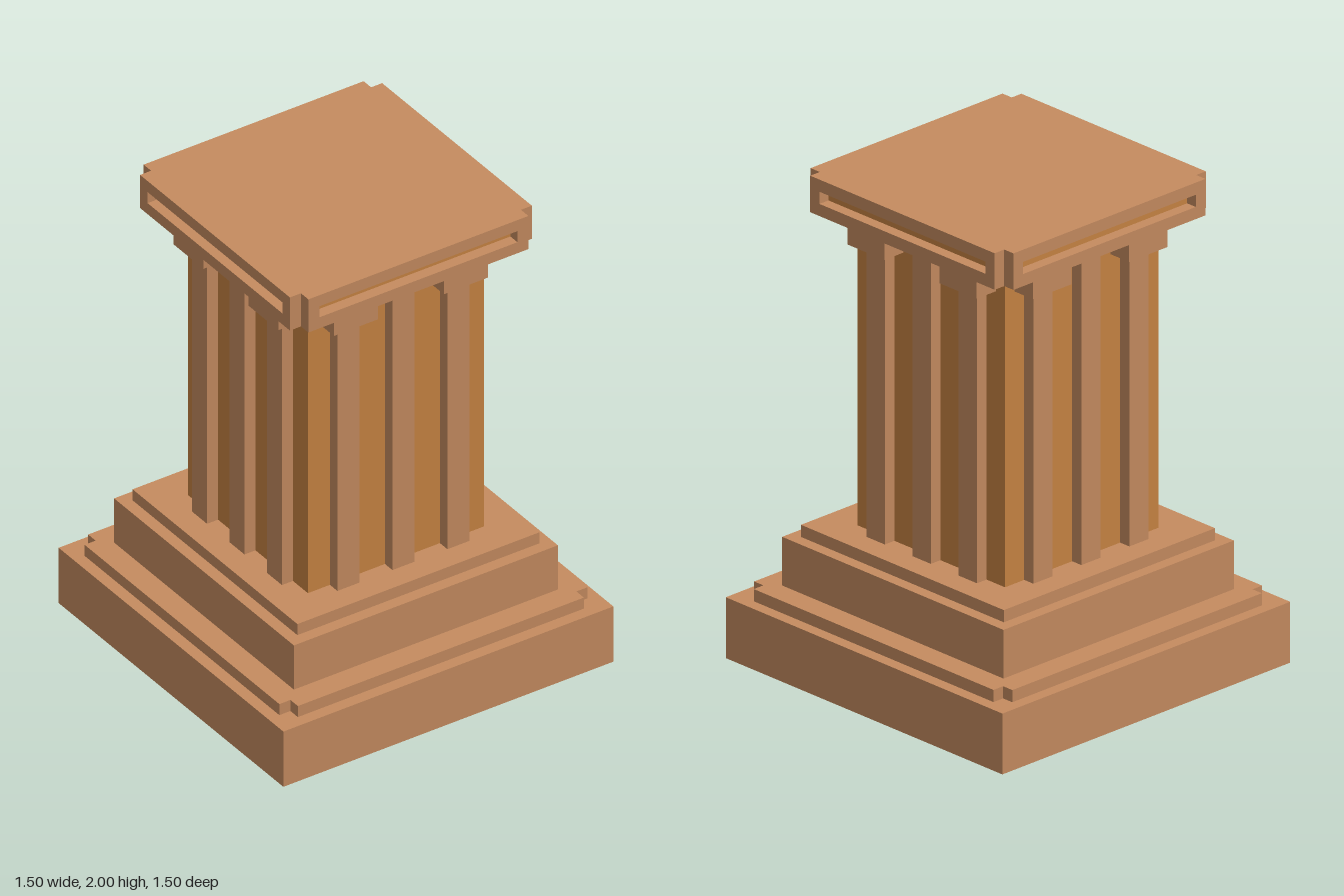
import * as THREE from 'three';

const terracotta = new THREE.MeshStandardMaterial({ color: 0xc68c60 });
terracotta.name = 'terracotta';
const ochre = new THREE.MeshStandardMaterial({ color: 0xc88443 });
ochre.name = 'ochre';

// Box given by its size, its bottom height and its centre in x and z
function block(parent, name, material, w, h, d, bottom, x = 0, z = 0) {
  const mesh = new THREE.Mesh(new THREE.BoxGeometry(w, h, d), material);
  mesh.name = name;
  mesh.position.set(x, bottom + h / 2, z);
  parent.add(mesh);
}

// Square slab with a small square notch cut from each corner
function notchedSlab(parent, name, half, notch, h, bottom) {
  const a = half, b = half - notch;
  const outline = [[b, -a], [b, -b], [a, -b], [a, b], [b, b], [b, a],
    [-b, a], [-b, b], [-a, b], [-a, -b], [-b, -b], [-b, -a]];
  const shape = new THREE.Shape(outline.map(([x, y]) => new THREE.Vector2(x, y)));
  const geometry = new THREE.ExtrudeGeometry(shape, { depth: h, bevelEnabled: false });
  geometry.rotateX(-Math.PI / 2);
  const mesh = new THREE.Mesh(geometry, terracotta);
  mesh.name = name;
  mesh.position.y = bottom;
  parent.add(mesh);
}

// Rectangular frame on one face of the cap, with a slot through it
function slottedFrame(parent) {
  const shape = new THREE.Shape([[-0.5, 1.85], [0.5, 1.85], [0.5, 2], [-0.5, 2]]
    .map(([x, y]) => new THREE.Vector2(x, y)));
  shape.holes.push(new THREE.Path([[-0.45, 1.9], [-0.45, 1.95], [0.45, 1.95], [0.45, 1.9]]
    .map(([x, y]) => new THREE.Vector2(x, y))));
  const geometry = new THREE.ExtrudeGeometry(shape, { depth: 0.05, bevelEnabled: false });
  const mesh = new THREE.Mesh(geometry, terracotta);
  mesh.name = 'capFrame';
  mesh.position.z = 0.5;
  parent.add(mesh);
}

export function createModel() {
  const model = new THREE.Group();
  model.name = 'pedestal';

  // Stepped base
  block(model, 'plinth', terracotta, 1.5, 0.25, 1.5, 0);
  notchedSlab(model, 'notchedStep', 0.7, 0.05, 0.05, 0.25);
  block(model, 'upperBase', terracotta, 1.2, 0.2, 1.2, 0.3);
  block(model, 'shaftSeat', terracotta, 1.1, 0.05, 1.1, 0.5);

  // Shaft core and cap core
  block(model, 'shaftCore', ochre, 0.8, 1.3, 0.8, 0.55);
  block(model, 'capCore', terracotta, 1, 0.15, 1, 1.85);

  // The same ribs, brackets and slotted frame on all four sides
  for (let i = 0; i < 4; i++) {
    const side = new THREE.Group();
    side.name = 'side' + (i + 1);
    side.rotation.y = i * Math.PI / 2;
    block(side, 'middleRib', terracotta, 0.1, 1.3, 0.05, 0.55, 0, 0.425);
    for (const s of [-1, 1]) {
      block(side, 'outerRib', terracotta, 0.1, 1.2, 0.05, 0.55, s * 0.25, 0.425);
      block(side, 'bracket', terracotta, 0.2, 0.1, 0.1, 1.75, s * 0.25, 0.45);
    }
    slottedFrame(side);
    block(side, 'slotInlay', ochre, 0.9, 0.05, 0.004, 1.9, 0, 0.501);
    model.add(side);
  }
  return model;
}
